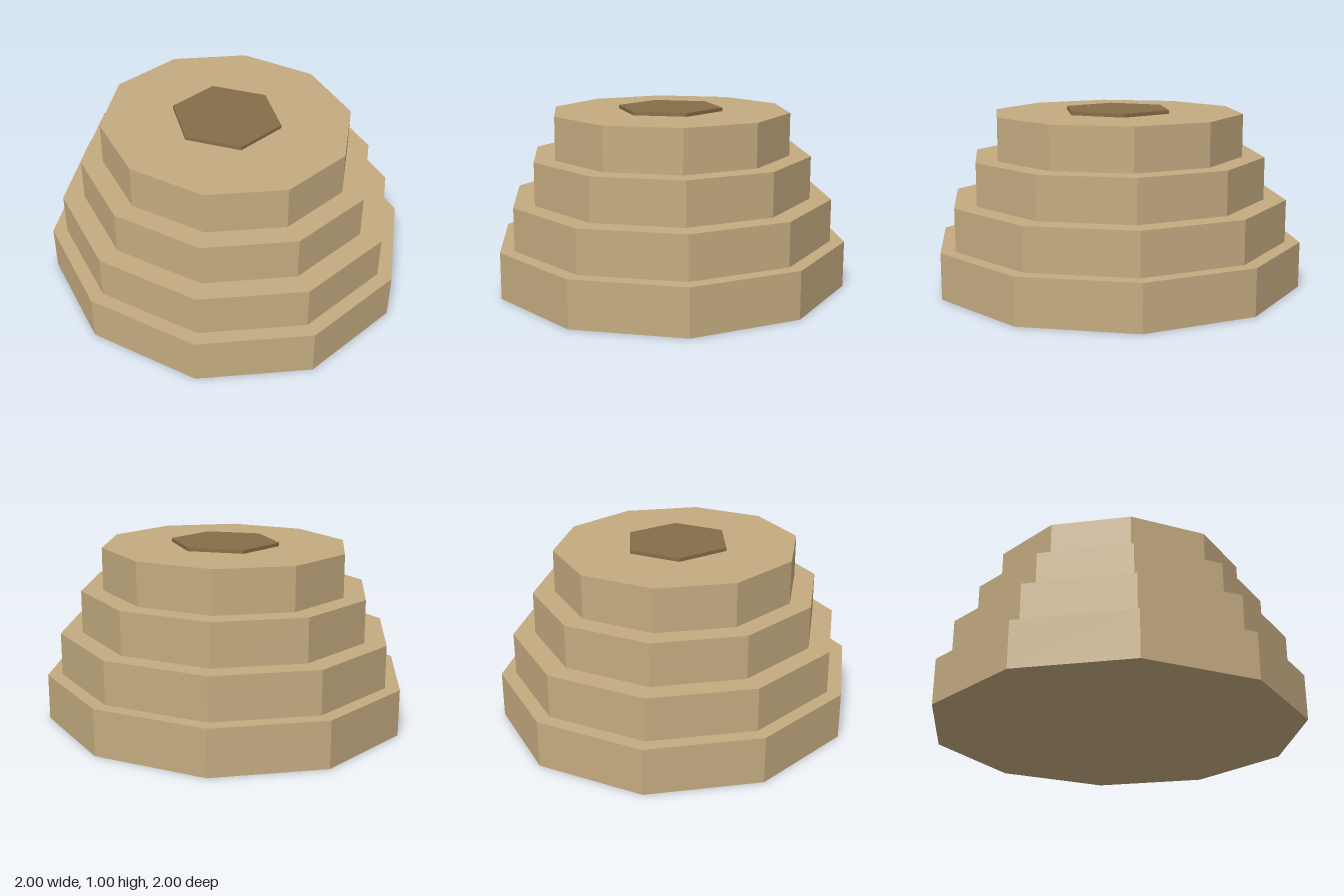
import * as THREE from 'three';

export function createModel() {
  const model = new THREE.Group();
  model.name = 'steppedMound';

  const straw = new THREE.MeshStandardMaterial({ color: 0xc4ab80 });
  straw.name = 'straw';
  const darkOpening = new THREE.MeshStandardMaterial({ color: 0x866d48 });
  darkOpening.name = 'dark brown';

  // Depth stretch that makes the decagon as deep as it is wide
  const depth = 1 / Math.sin(THREE.MathUtils.degToRad(72));

  // Flat-sided prism with a corner on the x axis, standing between two heights
  function addPrism(name, radius, bottom, top, sides, material) {
    const geometry = new THREE.CylinderGeometry(radius, radius, top - bottom, sides, 1, false, Math.PI / 2)
      .scale(1, 1, depth)
      .toNonIndexed();
    geometry.computeVertexNormals();
    const mesh = new THREE.Mesh(geometry, material);
    mesh.name = name;
    mesh.position.y = (bottom + top) / 2;
    model.add(mesh);
  }

  // Four stacked tiers, narrowing upward
  const radii = [1, 0.92, 0.8, 0.68];
  const levels = [0, 0.26, 0.5, 0.74, 0.98];
  radii.forEach((radius, i) => addPrism(`tier${i + 1}`, radius, levels[i], levels[i + 1], 10, straw));

  // Thin hexagonal plate in the middle of the top
  addPrism('topOpening', 0.3, 0.98, 1, 6, darkOpening);

  return model;
}
